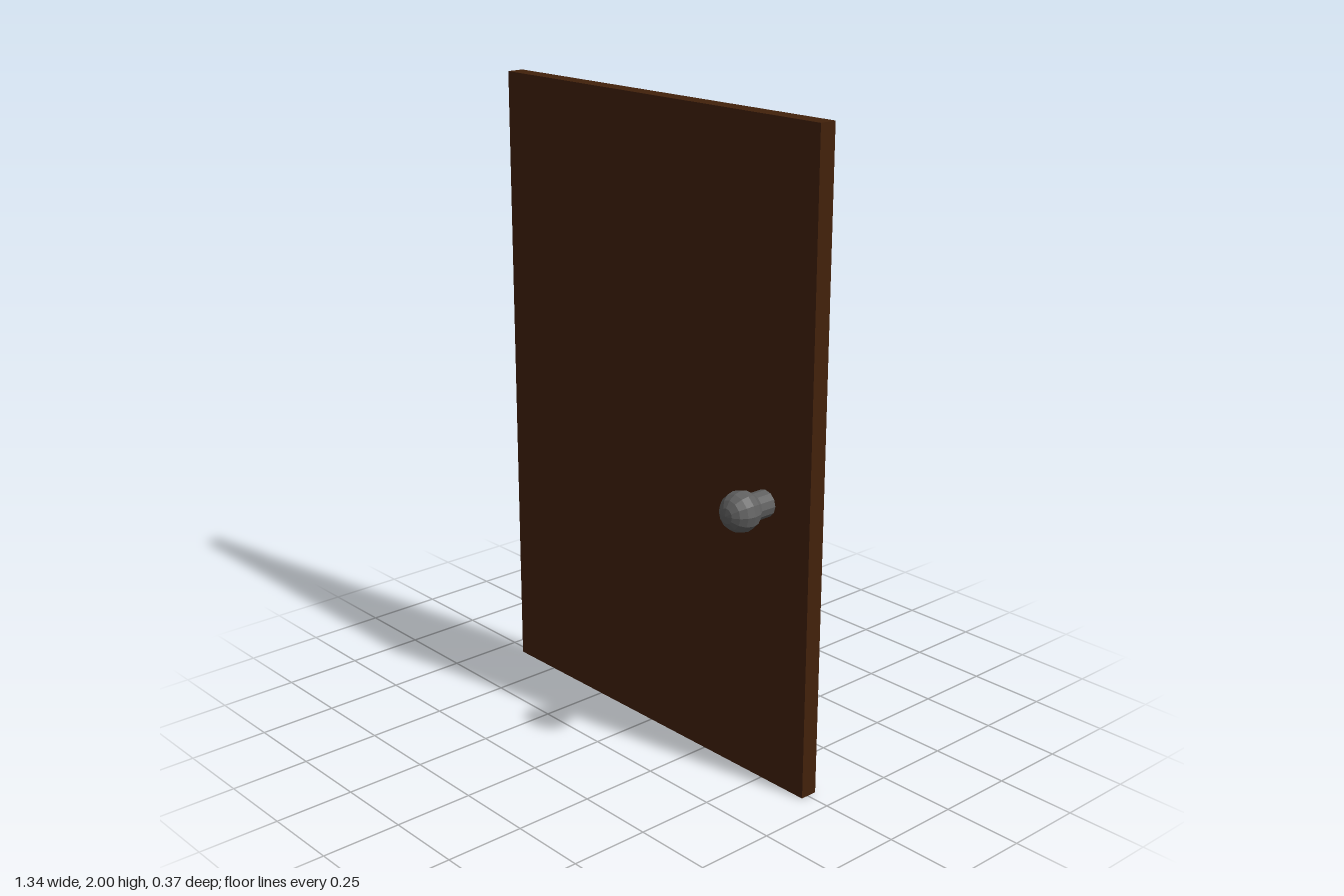
import * as THREE from 'three';

export function createModel() {
  const group = new THREE.Group();
  const wood = new THREE.MeshStandardMaterial({ color: 0x42210b });
  wood.name = 'dark brown wood';
  const metal = new THREE.MeshStandardMaterial({ color: 0x606060, flatShading: true });
  metal.name = 'grey metal';

  const add = (name, geometry, material, x, y, z) => {
    const mesh = new THREE.Mesh(geometry, material);
    mesh.name = name;
    mesh.position.set(x, y, z);
    group.add(mesh);
  };

  // Plain door slab
  const slabZ = -0.004;
  add('doorPanel', new THREE.BoxGeometry(1.344, 2, 0.056), wood, 0, 1, slabZ);

  // Spindle through the slab with a round knob on each side
  const knobX = 0.495, knobY = 0.885, knobZ = 0.125;
  const spindle = new THREE.CylinderGeometry(0.041, 0.041, 2 * knobZ, 12).rotateX(Math.PI / 2);
  add('knobSpindle', spindle, metal, knobX, knobY, -0.002);
  for (const [name, side] of [['frontKnob', 1], ['backKnob', -1]]) {
    const knob = new THREE.SphereGeometry(0.062, 12, 8).rotateX(side * Math.PI / 2);
    add(name, knob, metal, knobX, knobY, -0.002 + side * knobZ);
  }
  return group;
}
